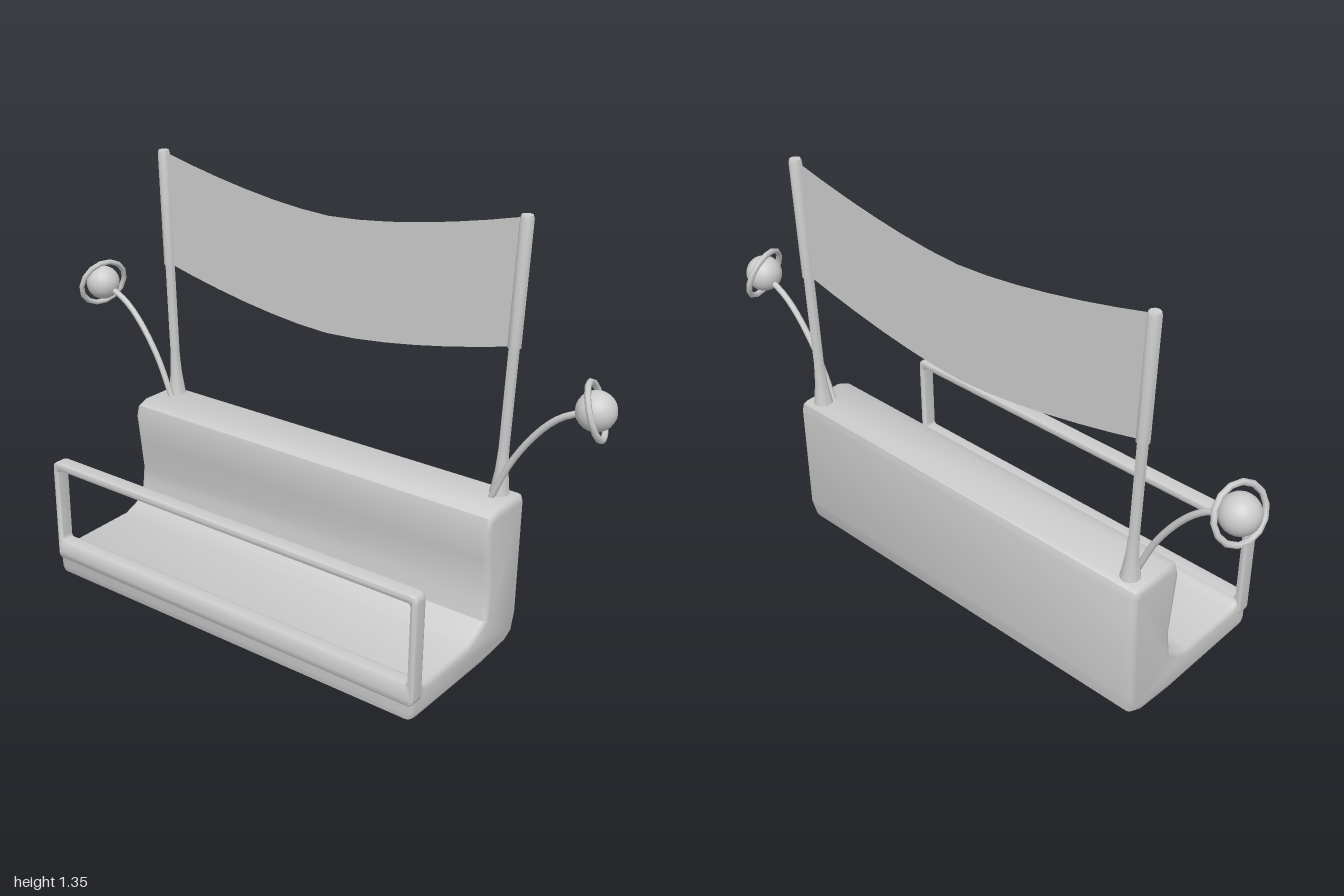
import * as THREE from 'three';
import { toCreasedNormals } from 'three/addons/utils/BufferGeometryUtils.js';

const grey = new THREE.MeshStandardMaterial({ color: 0xcccccc });
const greyDouble = new THREE.MeshStandardMaterial({ color: 0xcccccc, side: THREE.DoubleSide });

function addMesh(parent, name, geometry, material = grey) {
  const mesh = new THREE.Mesh(geometry, material);
  mesh.name = name;
  parent.add(mesh);
  return mesh;
}

// Extrusion centred on its depth, with a rounded rim kept inside the outline
function roundedExtrude(shape, depth, bevel) {
  const g = new THREE.ExtrudeGeometry(shape, {
    depth: depth - 2 * bevel, bevelEnabled: true, bevelSize: bevel,
    bevelThickness: bevel, bevelOffset: -bevel, bevelSegments: 3,
  });
  g.translate(0, 0, -(depth - 2 * bevel) / 2);
  return toCreasedNormals(g, 0.8);
}

function roundedRect(path, w, y0, y1, r) {
  path.moveTo(-w + r, y0);
  path.lineTo(w - r, y0);
  path.quadraticCurveTo(w, y0, w, y0 + r);
  path.lineTo(w, y1 - r);
  path.quadraticCurveTo(w, y1, w - r, y1);
  path.lineTo(-w + r, y1);
  path.quadraticCurveTo(-w, y1, -w, y1 - r);
  path.lineTo(-w, y0 + r);
  path.quadraticCurveTo(-w, y0, -w + r, y0);
  return path;
}

export function createModel() {
  const model = new THREE.Group();
  model.name = 'benchCar';

  // Seat and backrest: side profile (z, y) swept across the width
  const profile = [
    [0.27, 0.006], [0.288, 0.013], [0.295, 0.035], [0.295, 0.125], [0.245, 0.125],
    [0.238, 0.112], [0.215, 0.105], [-0.015, 0.11], [-0.06, 0.128], [-0.098, 0.15],
    [-0.106, 0.2], [-0.112, 0.25], [-0.1, 0.35], [-0.088, 0.45], [-0.098, 0.488],
    [-0.135, 0.503], [-0.27, 0.503], [-0.288, 0.496], [-0.295, 0.475], [-0.295, 0.1],
    [-0.278, 0.035], [-0.235, 0.013], [-0.1, 0.003],
  ].map(([z, y]) => new THREE.Vector2(z, y));
  const body = roundedExtrude(new THREE.Shape(profile.reverse()), 1.4, 0.02);
  body.rotateY(-Math.PI / 2);
  addMesh(model, 'seatBody', body);

  // Front safety rail: thin frame standing on the front lip
  const frame = roundedRect(new THREE.Shape(), 0.705, 0.06, 0.415, 0.025);
  frame.holes.push(roundedRect(new THREE.Path(), 0.683, 0.13, 0.387, 0.01));
  const rail = addMesh(model, 'frontRail', roundedExtrude(frame, 0.05, 0.007));
  rail.position.z = 0.271;

  // Hanging banner, sagging in the middle
  const banner = new THREE.PlaneGeometry(1.32, 0.38, 12, 1);
  const p = banner.attributes.position;
  for (let i = 0; i < p.count; i++) {
    const sag = 0.105 * Math.pow(Math.abs(p.getX(i)) / 0.66, 1.6);
    p.setY(i, (p.getY(i) > 0 ? 1.237 : 0.862) + sag);
  }
  banner.translate(0, 0, -0.243);
  banner.computeVertexNormals();
  addMesh(model, 'banner', banner, greyDouble);

  for (const side of [-1, 1]) {
    const label = side > 0 ? 'left' : 'right';

    // Flared pole with a thicker sleeve where the banner is tied
    const poleProfile = [
      [0.032, 0], [0.028, 0.02], [0.02, 0.08], [0.016, 0.15], [0.016, 0.465], [0.02, 0.465],
      [0.02, 0.842], [0.017, 0.852], [0, 0.852],
    ].map(([r, y]) => new THREE.Vector2(r, y));
    const poleGeo = toCreasedNormals(new THREE.LatheGeometry(poleProfile, 10), 0.8);
    const pole = addMesh(model, label + 'Pole', poleGeo);
    pole.position.set(side * 0.641, 0.498, -0.243);
    pole.rotation.z = -side * 0.033;

    // Curved stalk
    const path = new THREE.CatmullRomCurve3([
      [0.63, 0.49], [0.695, 0.635], [0.775, 0.75], [0.835, 0.806], [0.9, 0.84],
    ].map(([x, y]) => new THREE.Vector3(side * x, y, -0.205)));
    addMesh(model, label + 'Stalk', new THREE.TubeGeometry(path, 16, 0.01, 8));

    // Ringed ball at the stalk tip
    const planet = new THREE.Group();
    planet.name = label + 'RingedBall';
    planet.position.set(side * 0.94, 0.855, -0.203);
    model.add(planet);
    addMesh(planet, 'ball', new THREE.SphereGeometry(0.058, 20, 14));
    const ring = addMesh(planet, 'ring', new THREE.TorusGeometry(0.083, 0.0095, 6, 14));
    const normal = new THREE.Vector3(side, 0.35, -0.3).normalize();
    ring.quaternion.setFromUnitVectors(new THREE.Vector3(0, 0, 1), normal);
  }
  return model;
}
